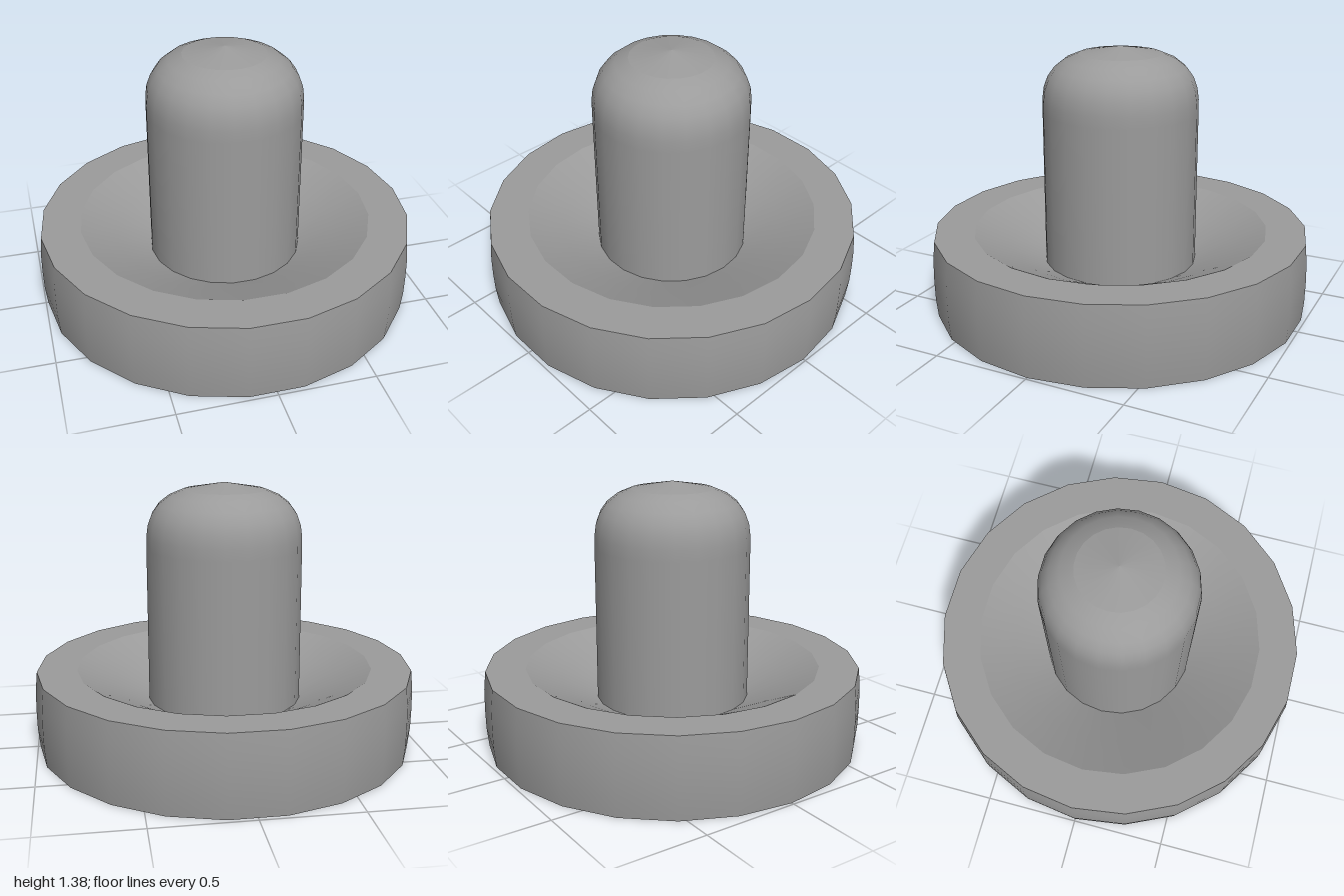
import * as THREE from 'three';

const SIDES = 22;

export function createModel() {
  const group = new THREE.Group();
  const material = new THREE.MeshStandardMaterial({ color: 0x9b9b9b });

  // Turned surface, one corner on the x axis; profile runs bottom-outer-top
  function turned(name, profile) {
    const points = profile.map(([r, y]) => new THREE.Vector2(r, y));
    const mesh = new THREE.Mesh(new THREE.LatheGeometry(points, SIDES, Math.PI / 2), material);
    mesh.name = name;
    group.add(mesh);
  }

  // Dish base: separate surfaces keep the edges between them sharp
  turned('baseUnderside', [[0, 0], [0.988, 0]]);
  turned('baseWall', [[0.988, 0], [0.998, 0.1], [1, 0.207], [0.998, 0.315], [0.988, 0.415]]);
  turned('baseRim', [[0.988, 0.415], [0.78, 0.415]]);
  turned('baseBowl', [[0.78, 0.415], [0.59, 0.328], [0.4, 0.237]]);

  // Centre post: straight shaft running smoothly into a rounded shoulder
  turned('post', [
    [0.404, 0.235], [0.404, 1.05], [0.403, 1.11], [0.395, 1.17], [0.375, 1.225],
    [0.34, 1.275], [0.285, 1.318], [0.215, 1.347],
  ]);

  // Shallow pointed cap on the post
  turned('postCap', [[0.215, 1.347], [0, 1.385]]);

  return group;
}
